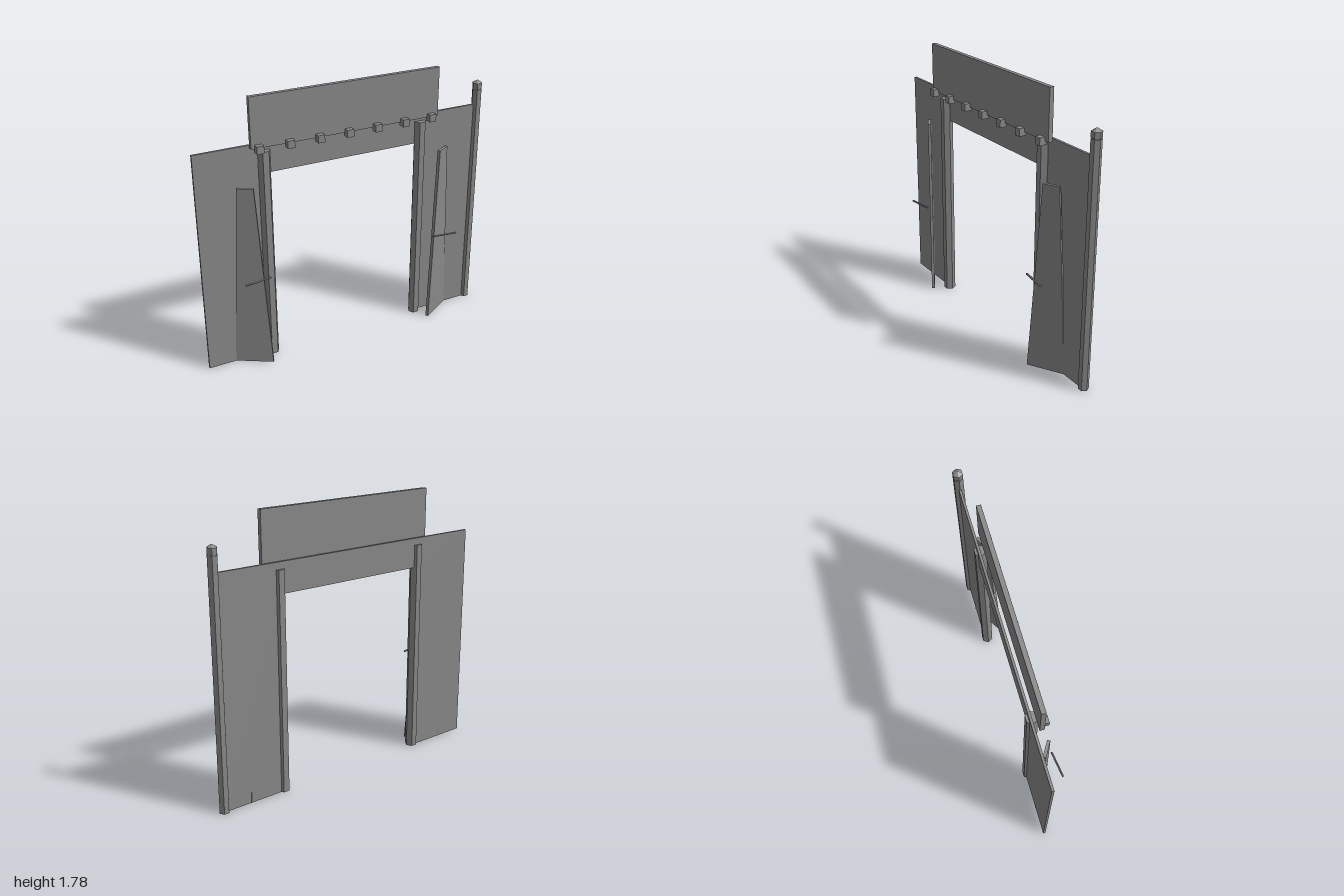
import * as THREE from 'three';

export function createModel() {
  const group = new THREE.Group();
  const gray = new THREE.MeshStandardMaterial({ color: 0x888888 });
  gray.name = 'plainGray';
  const MID = -0.0175; // centre line of the doorway

  function add(name, geometry, x, y, z) {
    const mesh = new THREE.Mesh(geometry, gray);
    mesh.name = name;
    mesh.position.set(x, y, z);
    group.add(mesh);
    return mesh;
  }

  // Six-sided prism with corners pointing along x and crisp edges
  function hexPrism(rTop, rBottom, height) {
    const g = new THREE.CylinderGeometry(rTop, rBottom, height, 6).rotateY(Math.PI / 6).toNonIndexed();
    g.computeVertexNormals();
    return g;
  }

  // Thin wall with the doorway cut out
  const wallShape = new THREE.Shape();
  [[-1, 0], [-0.56, 0], [-0.56, 1.28], [0.525, 1.28], [0.525, 0], [0.96, 0], [0.96, 1.475], [-1, 1.475]]
    .forEach(([x, y], i) => (i ? wallShape.lineTo(x, y) : wallShape.moveTo(x, y)));
  wallShape.closePath();
  add('wall', new THREE.ExtrudeGeometry(wallShape, { depth: 0.016, bevelEnabled: false }), 0, 0, -0.087);

  // Sign board and the row of lamp blocks under it
  add('signBoard', new THREE.BoxGeometry(1.28, 0.32, 0.029), -0.015, 1.625, -0.036);
  for (let i = 0; i < 7; i++) {
    add('lampBlock', new THREE.BoxGeometry(0.046, 0.048, 0.046), -0.02 + (i - 3) * 0.1965, 1.466, -0.009);
  }

  // Tapered board profile, shared by both sides
  const board = new THREE.Shape();
  board.moveTo(-0.124, 0);
  board.lineTo(0.124, 0);
  board.lineTo(0.052, 1.23);
  board.lineTo(-0.052, 1.23);
  board.closePath();
  const boardGeometry = new THREE.ExtrudeGeometry(board, { depth: 0.02, bevelEnabled: false }).translate(0, 0, -0.01);

  // Door posts, angled boards and handles, mirrored about the doorway
  for (const s of [-1, 1]) {
    add('doorPost', hexPrism(0.04, 0.04, 1.43), MID + s * 0.5415, 0.715, -0.068);
    add('taperedBoard', boardGeometry, MID + s * 0.691, 0, -0.018).rotation.y = s * 0.54;
    const bar = hexPrism(0.007, 0.007, 0.174).rotateZ(Math.PI / 2);
    add('handleBar', bar, MID + s * 0.674, 0.642, 0.08).rotation.y = -s * 0.14;
  }

  // Tall corner post with a collar gap and pointed cap
  add('cornerPost', hexPrism(0.033, 0.033, 1.575), 0.963, 0.7875, -0.08);
  add('capNeck', hexPrism(0.027, 0.027, 0.012), 0.963, 1.578, -0.08);
  add('cap', hexPrism(0.033, 0.033, 0.037), 0.963, 1.6, -0.08);
  add('capPoint', hexPrism(0.002, 0.033, 0.019), 0.963, 1.628, -0.08);

  return group;
}
